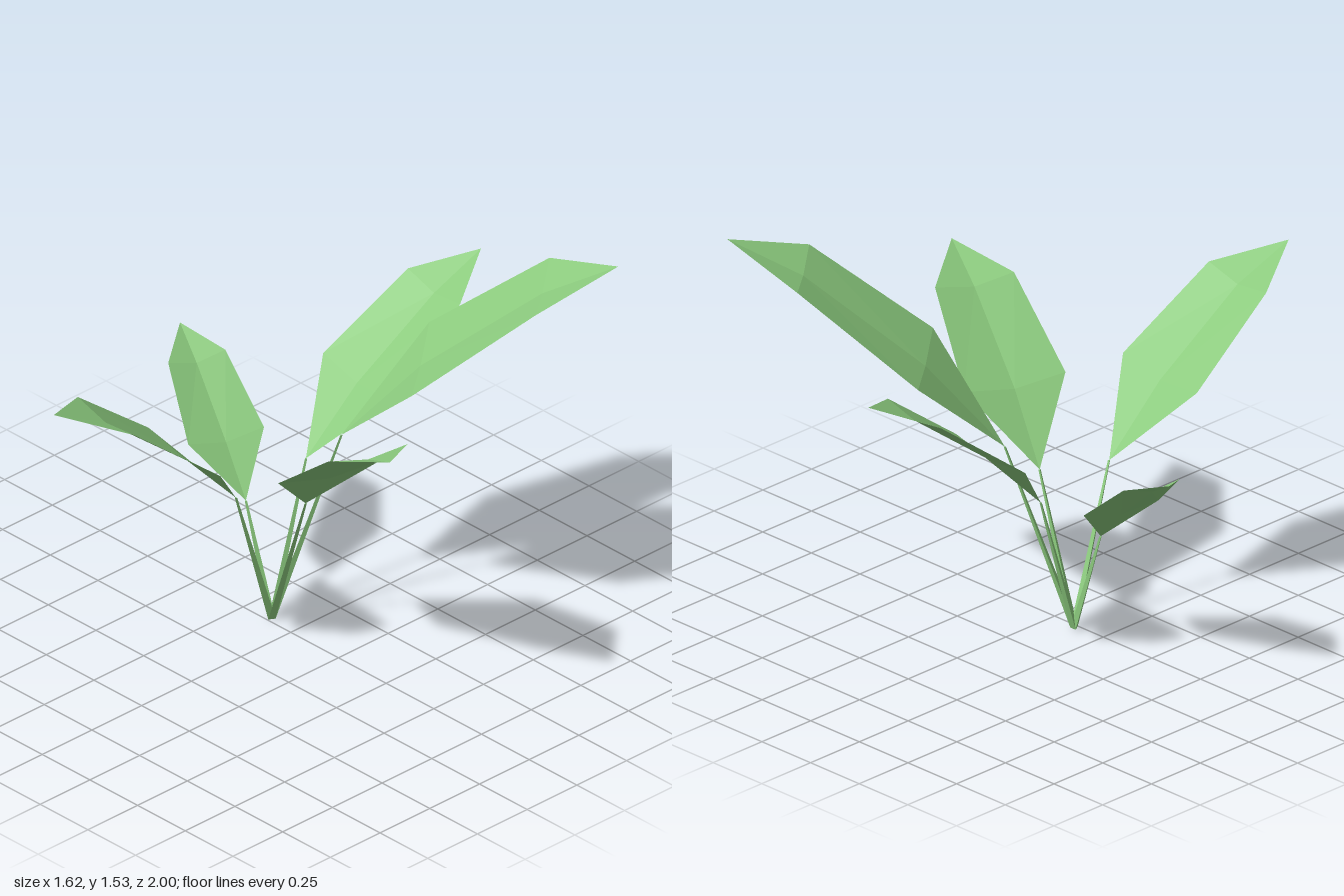
import * as THREE from 'three';

const leafGreen = new THREE.MeshStandardMaterial({ color: 0x8ccb7e, flatShading: true, side: THREE.DoubleSide });
leafGreen.name = 'leafGreen';

const ROOT = [-0.122, -0.02]; // x, z where all stems meet
const FOLD = 0.028;           // how far the midrib sinks below the leaf edges

// Outline per leaf: base and tip as [x, y, z]; lower and upper pairs as [height, left x, left z, right x, right z]
const LEAVES = [
  { name: 'frontLeaf', base: [-0.10, 0.60, 0.18], low: [0.88, 0.09, 0.44, -0.34, 0.39],
    high: [1.16, 0, 0.79, -0.335, 0.75], tip: [-0.20, 1.245, 1.0] },
  { name: 'backLeaf', base: [-0.15, 0.58, -0.22], low: [0.845, -0.325, -0.475, 0.085, -0.42],
    high: [1.105, -0.23, -0.81, 0.085, -0.77], tip: [-0.045, 1.19, -1.0] },
  { name: 'tallBackLeftLeaf', base: [0.025, 0.75, -0.23], low: [1.09, 0.08, -0.62, 0.415, -0.21],
    high: [1.43, 0.465, -0.855, 0.725, -0.535], tip: [0.81, 1.535, -0.87] },
  { name: 'leftLeaf', base: [0.067, 0.57, -0.01], low: [0.825, 0.345, -0.12, 0.205, 0.26],
    high: [1.09, 0.65, 0.035, 0.54, 0.33], tip: [0.79, 1.165, 0.26] },
  { name: 'rightLeaf', base: [-0.272, 0.425, -0.035], low: [0.61, -0.48, 0.055, -0.38, -0.23],
    high: [0.81, -0.705, -0.06, -0.63, -0.275], tip: [-0.81, 0.87, -0.22] },
];

// Turns a pair into left edge, sunken midrib and right edge points
function section([y, lx, lz, rx, rz]) {
  return [[lx, y, lz], [(lx + rx) / 2, y - FOLD, (lz + rz) / 2], [rx, y, rz]];
}

// Folded blade: two facets at the base, two quads in the middle, two facets at the tip
function bladeGeometry({ base, low, high, tip }) {
  const [l1, m1, r1] = section(low);
  const [l2, m2, r2] = section(high);
  const triangles = [
    base, m1, l1, base, r1, m1,
    l1, m1, m2, l1, m2, l2,
    m1, r1, r2, m1, r2, m2,
    l2, m2, tip, m2, r2, tip,
  ];
  const geometry = new THREE.BufferGeometry();
  geometry.setAttribute('position', new THREE.Float32BufferAttribute(triangles.flat(), 3));
  geometry.computeVertexNormals();
  return geometry;
}

// Tapered three-sided stalk, sheared so its foot stays flat on the ground
function stemGeometry([x, y, z]) {
  const geometry = new THREE.CylinderGeometry(0.005, 0.016, y, 3).translate(0, y / 2, 0);
  const position = geometry.attributes.position;
  for (let i = 0; i < position.count; i++) {
    const t = position.getY(i) / y;
    position.setX(i, position.getX(i) + ROOT[0] + (x - ROOT[0]) * t);
    position.setZ(i, position.getZ(i) + ROOT[1] + (z - ROOT[1]) * t);
  }
  geometry.computeVertexNormals();
  return geometry;
}

export function createModel() {
  const plant = new THREE.Group();
  plant.name = 'plant';
  for (const leaf of LEAVES) {
    const group = new THREE.Group();
    group.name = leaf.name;
    const blade = new THREE.Mesh(bladeGeometry(leaf), leafGreen);
    blade.name = 'blade';
    const stem = new THREE.Mesh(stemGeometry(leaf.base), leafGreen);
    stem.name = 'stem';
    group.add(blade, stem);
    plant.add(group);
  }
  return plant;
}
